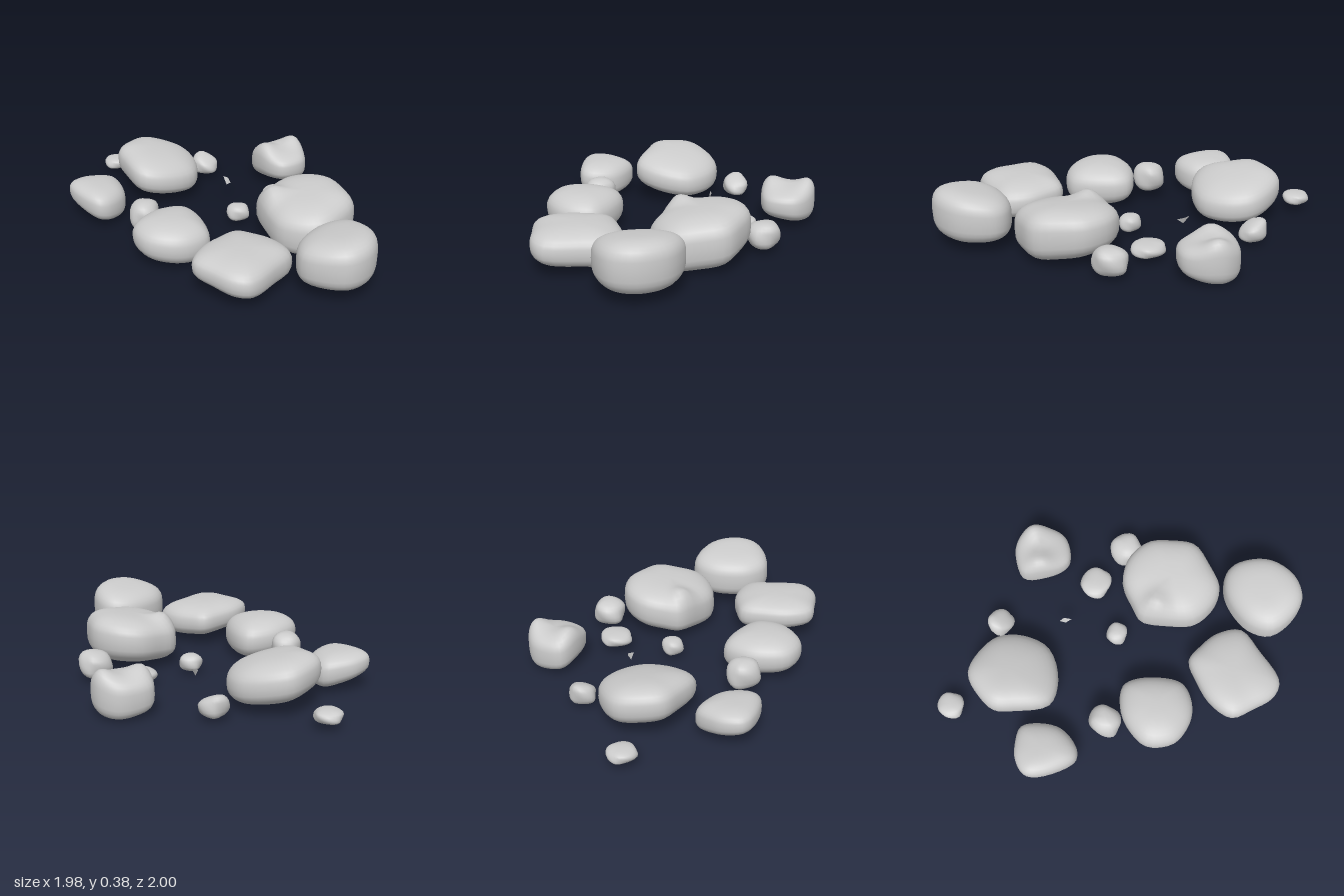
import * as THREE from 'three';
import { mergeVertices } from 'three/addons/utils/BufferGeometryUtils.js';

const material = new THREE.MeshStandardMaterial({ color: 0xcccccc, roughness: 0.9 });

// A rock: a sphere reshaped to a plan outline ([x, z] points), between a sloping
// underside and top. power < 1 makes it boxier; bumps are [x, z, radius, height];
// lump makes the sides uneven.
function rock(name, outline, { bottom, top, topSlope = [0, 0], bottomSlope = [0, 0], power = 0.72, bumps = [], lump = 0, segments = [40, 18] }) {
  const curve = new THREE.CatmullRomCurve3(outline.map(([x, z]) => new THREE.Vector3(x, 0, z)), true, 'centripetal');
  const centre = curve.getPoints(60).slice(1).reduce((sum, p) => sum.addScaledVector(p, 1 / 60), new THREE.Vector3());
  const geometry = new THREE.SphereGeometry(1, segments[0], segments[1]);
  const { position, uv } = geometry.attributes;
  for (let i = 0; i < position.count; i++) {
    const theta = (1 - uv.getY(i)) * Math.PI;
    const turn = uv.getX(i) * Math.PI * 2;
    const c = Math.cos(theta);
    const height = (1 + Math.sign(c) * Math.pow(Math.abs(c), power)) / 2;
    const reach = Math.pow(Math.abs(Math.sin(theta)), power) * (1 + lump * Math.sin(3 * turn + 5 * height));
    const rim = curve.getPoint((((1 - uv.getX(i)) % 1) + 1) % 1);
    const dx = (rim.x - centre.x) * reach;
    const dz = (rim.z - centre.z) * reach;
    const x = centre.x + dx, z = centre.z + dz;
    const low = bottom + bottomSlope[0] * dx + bottomSlope[1] * dz;
    let high = top + topSlope[0] * dx + topSlope[1] * dz;
    for (const [bx, bz, r, h] of bumps) high += h * Math.exp(-((x - bx) ** 2 + (z - bz) ** 2) / (r * r));
    position.setXYZ(i, x, low + (high - low) * height, z);
  }
  geometry.deleteAttribute('uv');
  geometry.deleteAttribute('normal');
  const smooth = mergeVertices(geometry, 1e-4);
  smooth.computeVertexNormals();
  const mesh = new THREE.Mesh(smooth, material);
  mesh.name = name;
  return mesh;
}

// A pebble: a small rock with an uneven seven-sided outline inside the given box
function pebble(name, x, z, width, depth, bottom, top, turn, topSlope) {
  const radii = [1, 0.94, 1.04, 0.96, 1.03, 0.92, 1.02];
  const outline = radii.map((r, i) => {
    const a = turn + (i / radii.length) * Math.PI * 2;
    return [x + Math.cos(a) * r * width / 2, z + Math.sin(a) * r * depth / 2];
  });
  return rock(name, outline, { bottom, top, topSlope, power: 0.8, lump: 0.06, segments: [24, 12] });
}

export function createModel() {
  const group = new THREE.Group();
  group.name = 'rockCluster';

  // Large rocks
  group.add(
    rock('backLargeRock',
      [[-0.60, -0.80], [-0.44, -0.82], [-0.28, -0.77], [-0.19, -0.63], [-0.19, -0.44],
        [-0.36, -0.28], [-0.53, -0.25], [-0.67, -0.42], [-0.73, -0.54], [-0.69, -0.68]],
      { bottom: 0.07, top: 0.335, topSlope: [-0.2, -0.03], bottomSlope: [-0.18, 0], power: 0.76 }),
    rock('rightRock',
      [[-0.86, -0.32], [-0.73, -0.35], [-0.65, -0.25], [-0.62, -0.12], [-0.68, 0.02],
        [-0.75, 0.06], [-0.83, 0.03], [-0.97, -0.10], [-0.995, -0.18], [-0.94, -0.27]],
      { bottom: 0.045, top: 0.25, topSlope: [-0.08, 0], bottomSlope: [-0.3, 0] }),
    rock('frontRightRock',
      [[-0.20, 0.10], [-0.11, 0.16], [-0.01, 0.36], [-0.01, 0.45], [-0.10, 0.55],
        [-0.22, 0.59], [-0.38, 0.56], [-0.48, 0.41], [-0.42, 0.24], [-0.33, 0.15]],
      { bottom: 0.02, top: 0.285, topSlope: [-0.04, 0], bottomSlope: [-0.1, 0], power: 0.8 }),
    rock('frontRock',
      [[0.15, 0.40], [0.26, 0.42], [0.40, 0.48], [0.50, 0.61], [0.42, 0.78], [0.29, 0.98],
        [0.18, 0.99], [0.05, 0.91], [-0.07, 0.81], [-0.05, 0.65], [0.05, 0.50]],
      { bottom: 0.055, top: 0.28, topSlope: [-0.02, 0], bottomSlope: [-0.12, 0], power: 0.75 }),
    rock('frontLeftRock',
      [[0.66, 0.41], [0.77, 0.36], [0.86, 0.38], [0.96, 0.50], [0.99, 0.62], [0.95, 0.78],
        [0.84, 0.88], [0.70, 0.88], [0.55, 0.80], [0.52, 0.66], [0.57, 0.52]],
      { bottom: 0.065, top: 0.37, topSlope: [0.14, 0.08], power: 0.63 }),
    rock('leftLargeRock',
      [[0.42, -0.22], [0.58, -0.26], [0.74, -0.20], [0.83, -0.06], [0.88, 0.09], [0.80, 0.24],
        [0.70, 0.36], [0.58, 0.38], [0.42, 0.32], [0.33, 0.18], [0.26, 0.0], [0.32, -0.10]],
      { bottom: 0.025, top: 0.345, topSlope: [0.1, -0.1], bottomSlope: [0, -0.15], power: 0.67, bumps: [[0.34, 0.06, 0.08, 0.06]] }),
    rock('backLeftRock',
      [[0.28, -0.96], [0.37, -1.0], [0.48, -0.98], [0.55, -0.90], [0.57, -0.75],
        [0.50, -0.66], [0.40, -0.62], [0.27, -0.70], [0.19, -0.85]],
      { bottom: 0.025, top: 0.25, topSlope: [0, -0.08], bottomSlope: [0, 0.2], power: 0.65,
        bumps: [[0.50, -0.94, 0.1, 0.07], [0.27, -0.75, 0.1, 0.07]] }),
  );

  // Pebbles between and around the large rocks
  group.add(
    pebble('rightPebble', -0.45, 0.105, 0.19, 0.22, 0.06, 0.25, 0.4, [0, 0]),
    pebble('backPebble', -0.15, -0.835, 0.18, 0.17, 0.03, 0.16, 0.8, [-0.3, -0.3]),
    pebble('cornerPebble', -0.80, -0.835, 0.17, 0.18, 0.05, 0.13, 0.2, [0, 0]),
    pebble('innerPebble', 0.395, -0.41, 0.22, 0.21, 0.045, 0.13, 0.5, [0, 0]),
    pebble('leftPebble', 0.70, -0.34, 0.21, 0.22, 0.03, 0.20, 1.1, [0.1, 0]),
    pebble('centrePebble', 0.135, -0.115, 0.15, 0.14, 0.03, 0.14, 0.3, [0, 0]),
  );

  // Thin stone chip
  const chip = new THREE.BufferGeometry();
  chip.setAttribute('position', new THREE.Float32BufferAttribute(
    [0.01, 0.17, -0.475, 0.045, 0.165, -0.46, 0.065, 0.15, -0.415, 0.035, 0.12, -0.445], 3));
  chip.setIndex([0, 1, 3, 1, 2, 3]);
  chip.computeVertexNormals();
  const chipMesh = new THREE.Mesh(chip, new THREE.MeshStandardMaterial({ color: 0xcccccc, side: THREE.DoubleSide }));
  chipMesh.name = 'stoneChip';
  group.add(chipMesh);

  return group;
}
